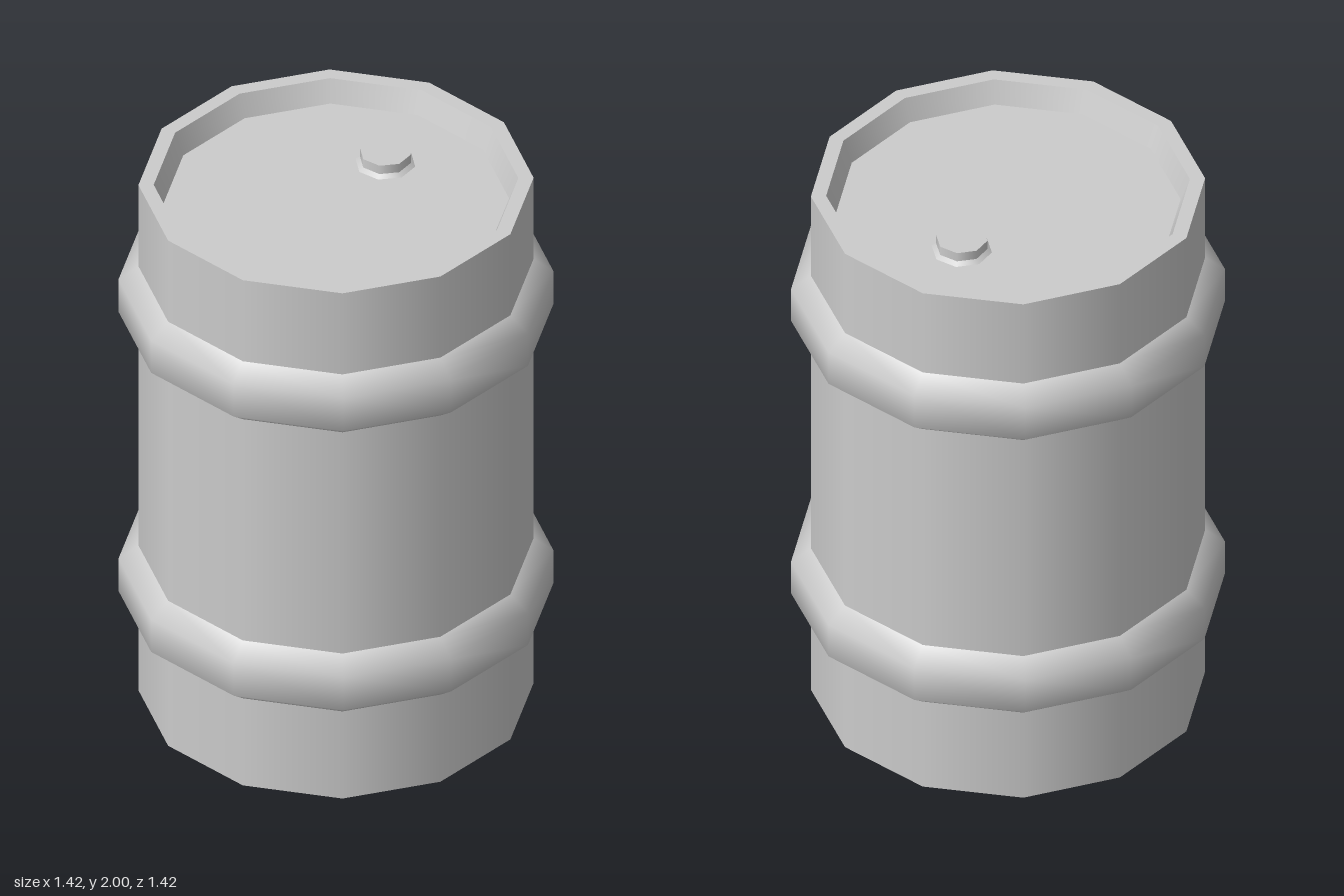
import * as THREE from 'three';
import { mergeGeometries } from 'three/addons/utils/BufferGeometryUtils.js';

const material = new THREE.MeshStandardMaterial({ color: 0xcccccc });

// Each profile is a list of [radius, y]; shading is smooth within a profile and sharp between profiles
function lathe(name, sides, profiles) {
  const parts = profiles.map((profile) =>
    new THREE.LatheGeometry(profile.map(([r, y]) => new THREE.Vector2(r, y)), sides));
  const mesh = new THREE.Mesh(mergeGeometries(parts), material);
  mesh.name = name;
  return mesh;
}

// Splits one path into separate straight bands so that every corner is sharp
const sharp = (path) => path.slice(1).map((p, i) => [path[i], p]);

export function createModel() {
  const group = new THREE.Group();
  group.name = 'barrel';

  const SIDES = 12, R = 0.645, RIM = 0.595, FLOOR = 0.565, RECESS = 0.08;

  // Shell with a recessed, slightly tapered lid at each end
  group.add(lathe('barrelShell', SIDES, sharp([
    [0, RECESS], [FLOOR, RECESS], [RIM, 0], [R, 0],
    [R, 2], [RIM, 2], [FLOOR, 2 - RECESS], [0, 2 - RECESS],
  ])));

  // Two bulging hoops
  [['lowerHoop', 0.345], ['upperHoop', 1.45]].forEach(([name, y]) => {
    group.add(lathe(name, SIDES, [
      [[R, y], [0.71, y + 0.05], [0.71, y + 0.178], [R, y + 0.229]],
    ]));
  });

  // Bung cap on the lid, with a flared foot
  const cap = lathe('bungCap', 8, sharp([
    [0.1, 0], [0.085, 0.012], [0.085, 0.045], [0, 0.045],
  ]));
  cap.position.set(0.255, 2 - RECESS, -0.105);
  group.add(cap);

  return group;
}
